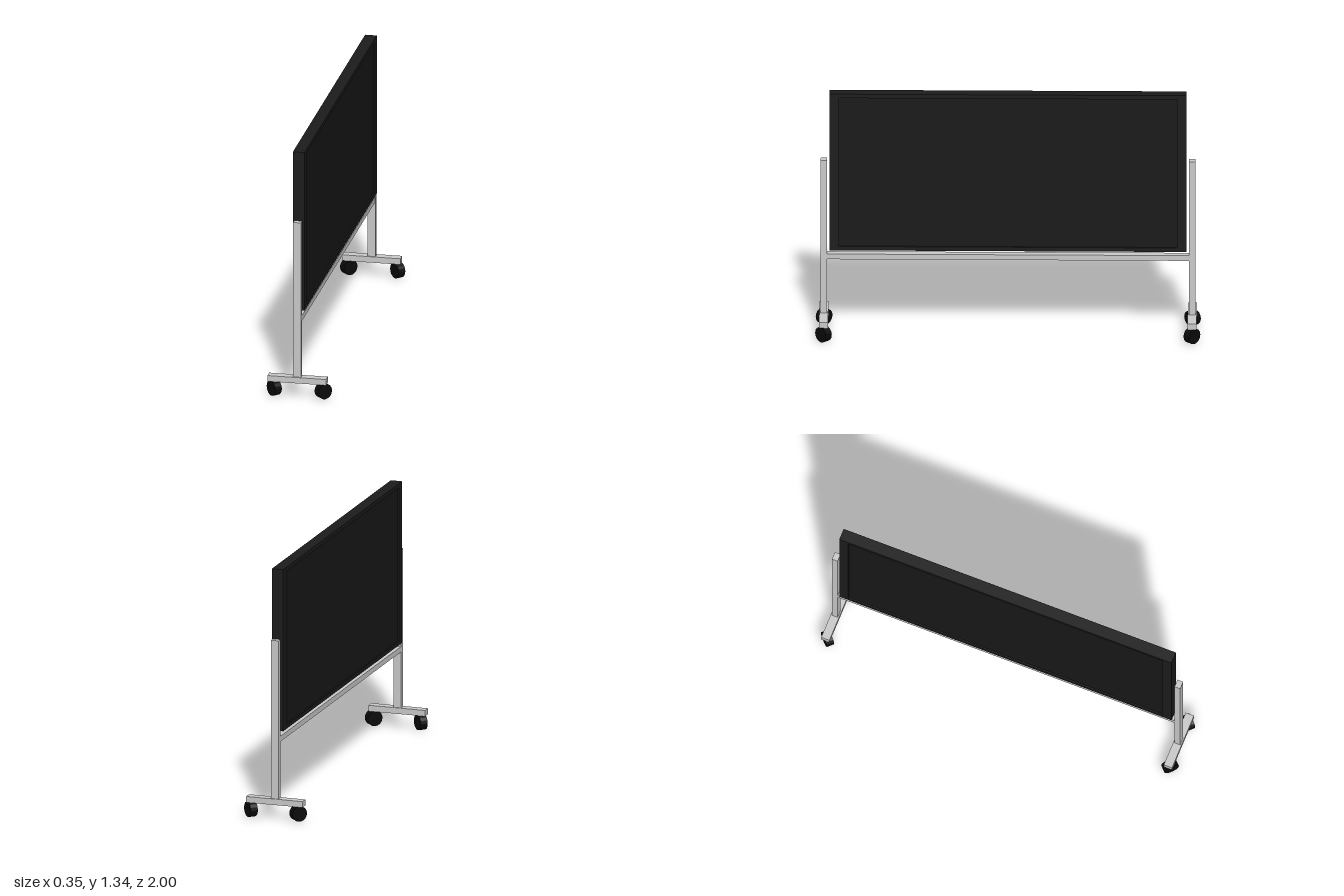
import * as THREE from 'three';

const metal = new THREE.MeshStandardMaterial({ color: 0xcccccc });
const frameBlack = new THREE.MeshStandardMaterial({ color: 0x1c1c1c });
const panelBlack = new THREE.MeshStandardMaterial({ color: 0x181818 });
const rubber = new THREE.MeshStandardMaterial({ color: 0x0a0a0a, flatShading: true });

const CX = -0.006; // the frame sits slightly off the wheel centre line

export function createModel() {
  const model = new THREE.Group();
  model.name = 'mobileBoard';

  const add = (name, geometry, material, x, y, z) => {
    const mesh = new THREE.Mesh(geometry, material);
    mesh.name = name;
    mesh.position.set(x, y, z);
    model.add(mesh);
    return mesh;
  };

  // Board frame: a rectangle with an opening, extruded through its thickness
  const w = 0.928, h = 0.435, side = 0.05, rail = 0.022, depth = 0.062;
  const outline = new THREE.Shape();
  outline.moveTo(-w, -h).lineTo(w, -h).lineTo(w, h).lineTo(-w, h).closePath();
  const opening = new THREE.Path();
  opening.moveTo(-w + side, -h + rail).lineTo(-w + side, h - rail)
    .lineTo(w - side, h - rail).lineTo(w - side, -h + rail).closePath();
  outline.holes.push(opening);
  const frame = new THREE.ExtrudeGeometry(outline, { depth, bevelEnabled: false });
  frame.translate(0, 0, -depth / 2).rotateY(Math.PI / 2);
  add('boardFrame', frame, frameBlack, CX, 0.901, 0);

  // Writing panel, recessed on both faces
  add('boardPanel', new THREE.BoxGeometry(0.046, 2 * (h - rail), 2 * (w - side)),
    panelBlack, CX, 0.901, 0);

  // Crossbar under the board
  add('crossbar', new THREE.BoxGeometry(0.04, 0.029, 1.888), metal, CX, 0.427, 0);

  for (const sz of [1, -1]) {
    const z = sz * 0.957;
    const end = sz > 0 ? 'front' : 'back';
    add(end + 'Post', new THREE.BoxGeometry(0.042, 0.853, 0.032), metal, CX, 0.5365, z);
    add(end + 'Foot', new THREE.BoxGeometry(0.31, 0.032, 0.046), metal, CX, 0.096, z);

    // Wheels turned outwards at 45 degrees
    for (const sx of [1, -1]) {
      const wheel = new THREE.CylinderGeometry(0.0415, 0.0415, 0.04, 16);
      wheel.rotateX(Math.PI / 2).rotateY(sx * sz * Math.PI / 4);
      add(end + (sx > 0 ? 'Left' : 'Right') + 'Wheel', wheel, rubber, sx * 0.13, 0.0415, z);
    }
  }
  return model;
}
